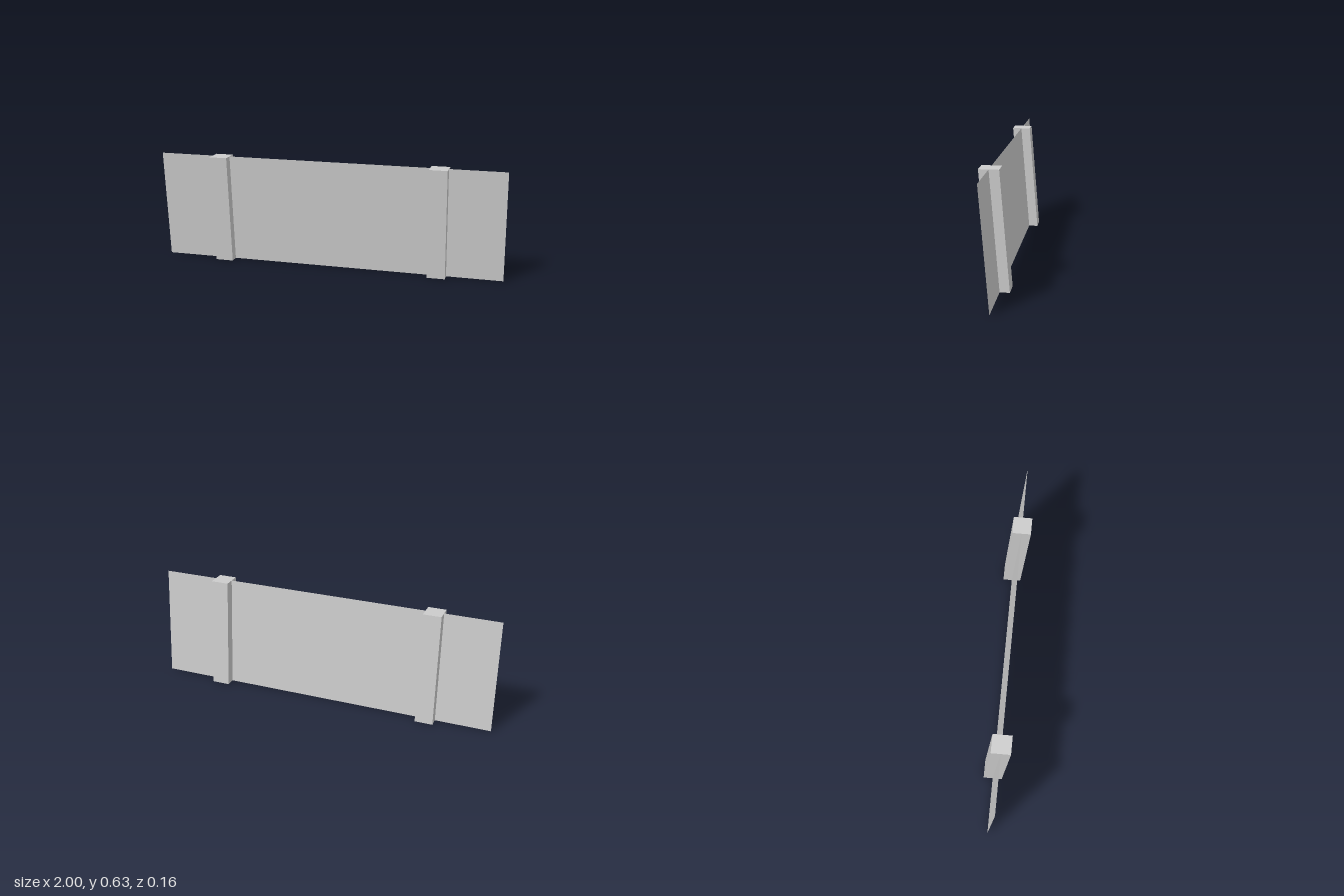
import * as THREE from 'three';

const HEIGHT = 0.632;
const LEAN = 0.0525; // forward shift from bottom to top

// Shear a geometry so its top leans forward while its ends stay level
function lean(geometry) {
  const p = geometry.attributes.position;
  for (let i = 0; i < p.count; i++) {
    p.setZ(i, p.getZ(i) + (p.getY(i) / HEIGHT) * LEAN);
  }
  geometry.translate(0, HEIGHT / 2, 0);
  geometry.computeVertexNormals();
  return geometry;
}

export function createModel() {
  const model = new THREE.Group();
  model.name = 'leaningPanel';
  const material = new THREE.MeshStandardMaterial({ color: 0xcccccc, flatShading: true });
  const sheetMaterial = material.clone();
  sheetMaterial.side = THREE.DoubleSide;

  // Thin sheet spanning the full width
  const panel = new THREE.Mesh(lean(new THREE.PlaneGeometry(2, HEIGHT)), sheetMaterial);
  panel.name = 'panel';
  model.add(panel);

  // Two posts that the sheet passes through
  const postGeometry = lean(new THREE.BoxGeometry(0.102, HEIGHT, 0.105));
  for (const [name, x] of [['leftPost', 0.63], ['rightPost', -0.633]]) {
    const post = new THREE.Mesh(postGeometry, material);
    post.name = name;
    post.position.x = x;
    model.add(post);
  }
  return model;
}
